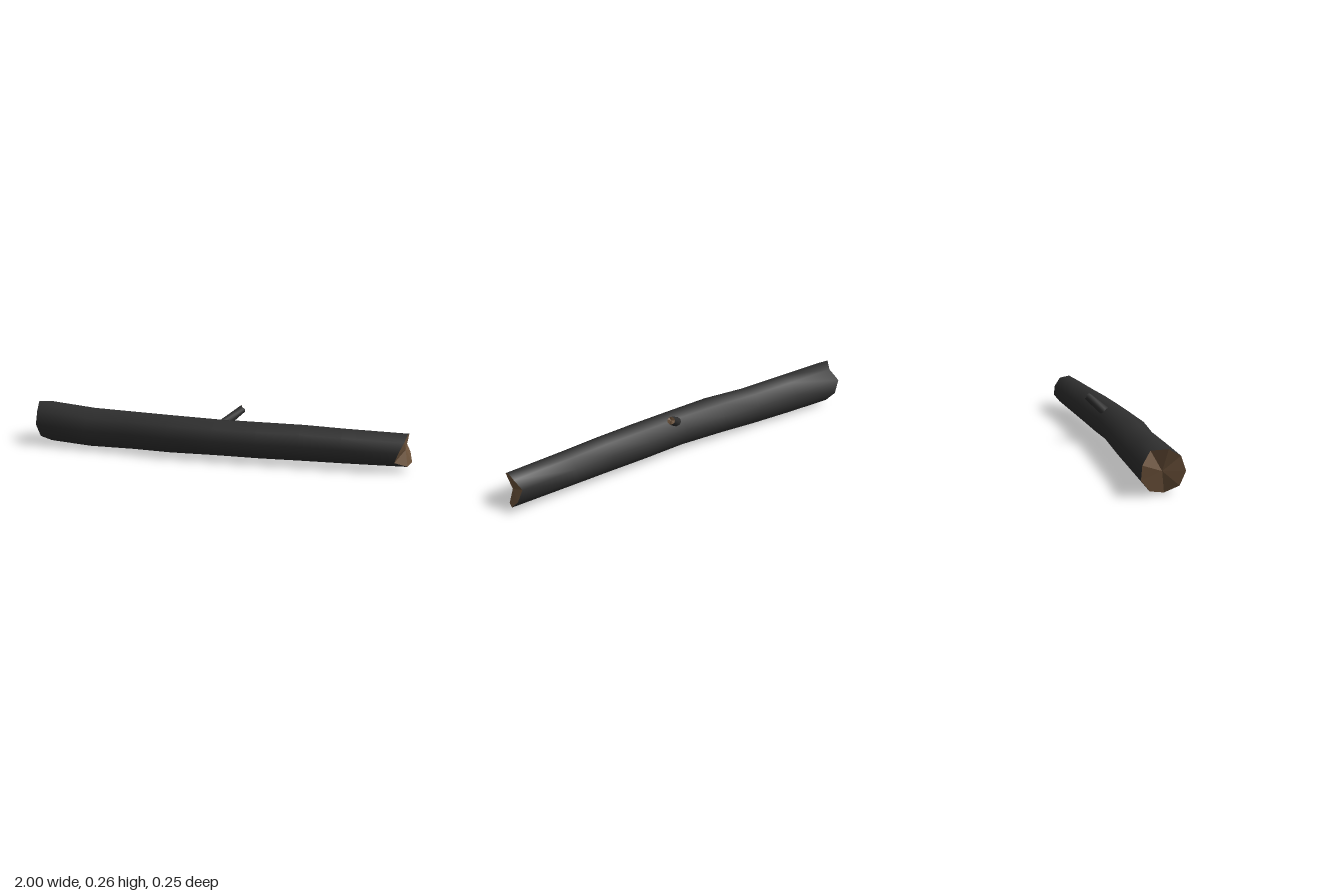
import * as THREE from 'three';

const SIDES = 9;

// Ring of points around the x axis direction, starting at +z and turning up
function ring(x, y, z, ry, rz) {
  return Array.from({ length: SIDES }, (_, j) => {
    const a = (j / SIDES) * Math.PI * 2;
    const px = Array.isArray(x) ? x[j] : x;
    return new THREE.Vector3(px, y + ry * Math.sin(a), z + rz * Math.cos(a));
  });
}

// Smooth open tube through the rings
function skin(rings) {
  const n = rings[0].length, index = [];
  for (let i = 0; i < rings.length - 1; i++) {
    for (let j = 0; j < n; j++) {
      const k = (j + 1) % n;
      const a = i * n + j, b = a + n, c = i * n + k, d = c + n;
      index.push(a, b, c, b, d, c);
    }
  }
  const geo = new THREE.BufferGeometry().setFromPoints(rings.flat());
  geo.setIndex(index);
  geo.computeVertexNormals();
  return geo;
}

// Faceted fan closing a jagged rim
function cap(rim, center, flip) {
  const pts = [];
  rim.forEach((p, j) => {
    const q = rim[(j + 1) % rim.length];
    pts.push(center, ...(flip ? [p, q] : [q, p]));
  });
  const geo = new THREE.BufferGeometry().setFromPoints(pts);
  geo.computeVertexNormals();
  return geo;
}

export function createModel() {
  const bark = new THREE.MeshStandardMaterial({ color: 0x2f2f2f });
  bark.name = 'charred bark';
  const wood = new THREE.MeshStandardMaterial({ color: 0x6e543c });
  wood.name = 'cut wood';

  const model = new THREE.Group();
  model.name = 'log';
  const add = (name, geo, mat) => {
    const mesh = new THREE.Mesh(geo, mat);
    mesh.name = name;
    model.add(mesh);
  };

  // Trunk: gently bent, with broken ends
  const leftX = [-0.985, -0.985, -1, -0.955, -0.985, -0.965, -0.945, -0.935, -0.97];
  const rightX = [0.945, 0.97, 0.98, 0.98, 0.957, 0.985, 1, 0.985, 0.925];
  const rings = [
    [leftX, 0.116, -0.026, 0.108, 0.103],
    [-0.7, 0.105, -0.006, 0.104, 0.104],
    [-0.46, 0.106, 0, 0.1, 0.1],
    [-0.24, 0.108, 0.018, 0.098, 0.106],
    [0, 0.11, 0.02, 0.094, 0.096],
    [0.23, 0.11, 0.011, 0.094, 0.097],
    [0.45, 0.112, 0.001, 0.093, 0.091],
    [0.66, 0.11, -0.008, 0.089, 0.087],
    [rightX, 0.11, -0.023, 0.084, 0.083],
  ].map((r) => ring(...r));
  add('trunk', skin(rings), bark);
  add('leftEnd', cap(rings[0], new THREE.Vector3(-0.96, 0.115, -0.025), true), wood);
  add('rightEnd', cap(rings[8], new THREE.Vector3(0.97, 0.11, -0.025), false), wood);

  // Snapped twig leaning up, back and to the side
  const base = new THREE.Vector3(0.03, 0.172, -0.025);
  const tip = new THREE.Vector3(0.112, 0.24, -0.1);
  const dir = tip.clone().sub(base).normalize();
  const turn = new THREE.Quaternion().setFromUnitVectors(new THREE.Vector3(1, 0, 0), dir);
  const place = (pts, at) => pts.map((p) => p.applyQuaternion(turn).add(at));
  const jag = [0.002, -0.004, 0.004, 0.006, -0.002, 0.003, 0.005, -0.003, 0];
  const twig = [
    place(ring(0, 0, 0, 0.026, 0.026), base),
    place(ring(jag, 0, 0, 0.02, 0.02), tip),
  ];
  add('twig', skin(twig), bark);
  add('twigEnd', cap(twig[1], tip, false), wood);

  return model;
}
